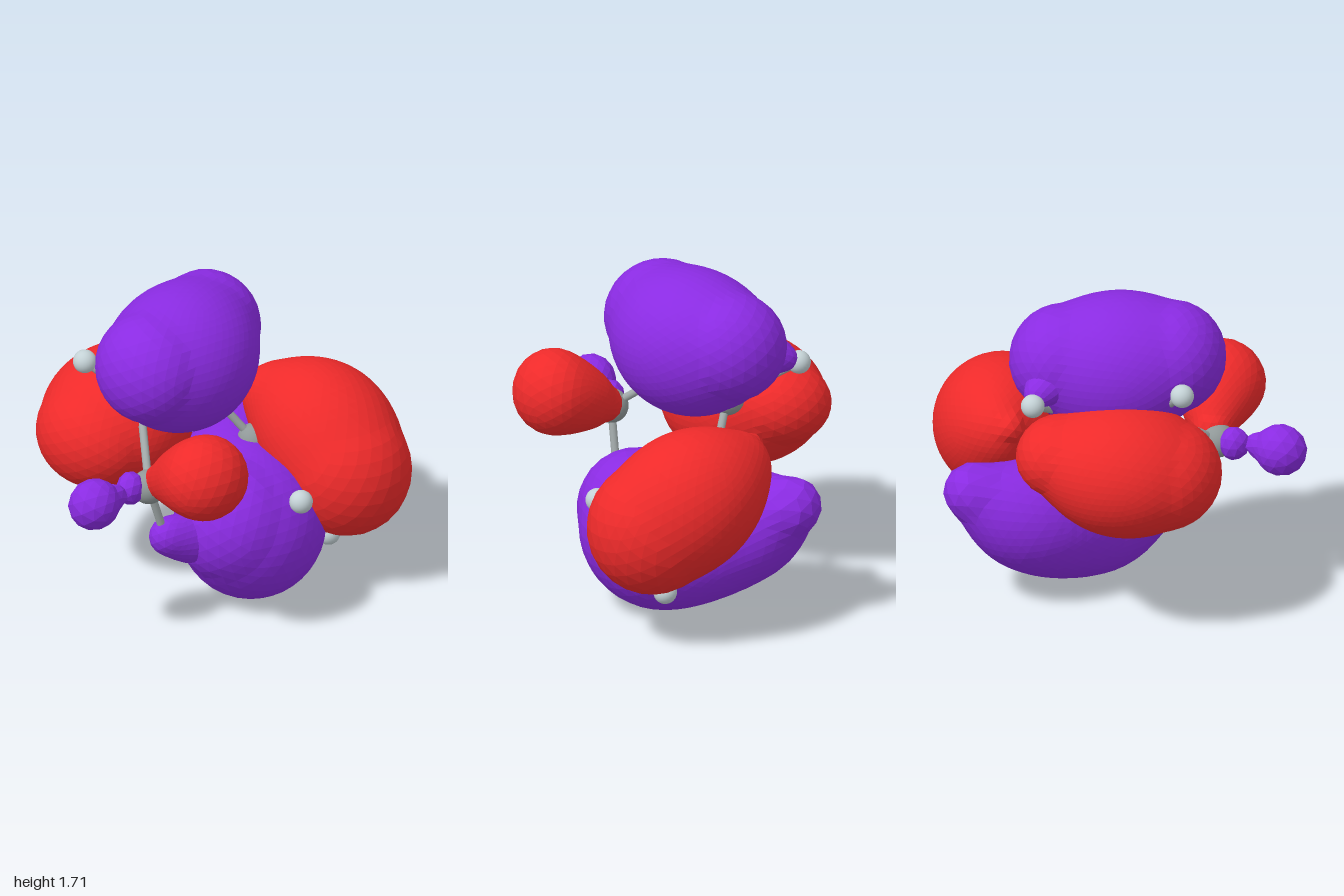
import * as THREE from 'three';

const material = (color, flatShading = false) => {
  const m = new THREE.MeshStandardMaterial({ color });
  m.flatShading = flatShading;
  return m;
};
const PURPLE = material(0x8a2be2, true);
const RED = material(0xee2a2a, true);
const CARBON = material(0x909898);
const HYDROGEN = material(0xc4d2d6);
const BOND = material(0xa0a8a8);

// Balls [x, y, z, radius] interpolated along a smooth spine.
function sweep(balls, steps = 28) {
  const path = new THREE.CatmullRomCurve3(
    balls.map(([x, y, z]) => new THREE.Vector3(x, y, z)), false, 'catmullrom');
  const radii = new THREE.SplineCurve(balls.map((b, i) => new THREE.Vector2(i, b[3])));
  return Array.from({ length: steps + 1 }, (_, i) => (
    { at: path.getPoint(i / steps), r: radii.getPoint(i / steps).y }));
}

// Smooth skin around the swept balls, with its extents set by min and max.
function lobe(name, mat, detail, balls, min, max) {
  const spine = sweep(balls);
  const centre = spine.reduce((sum, s) => sum.add(s.at), new THREE.Vector3())
    .divideScalar(spine.length);
  const inside = (p) => spine.some((s) => p.distanceToSquared(s.at) < s.r * s.r);

  const geometry = new THREE.IcosahedronGeometry(1, detail);
  const pos = geometry.attributes.position;
  const dir = new THREE.Vector3();
  const p = new THREE.Vector3();
  for (let i = 0; i < pos.count; i++) {
    dir.fromBufferAttribute(pos, i).normalize();
    let lo = 0, hi = 1.2;
    for (let k = 0; k < 18; k++) {
      const mid = (lo + hi) / 2;
      p.copy(centre).addScaledVector(dir, mid);
      if (inside(p)) lo = mid; else hi = mid;
    }
    p.copy(centre).addScaledVector(dir, lo);
    pos.setXYZ(i, p.x, p.y, p.z);
  }
  geometry.computeBoundingBox();
  const low = geometry.boundingBox.min.clone();
  const from = geometry.boundingBox.getSize(new THREE.Vector3());
  const to = new THREE.Vector3(...max).sub(new THREE.Vector3(...min));
  geometry.translate(-low.x, -low.y, -low.z);
  geometry.scale(to.x / from.x, to.y / from.y, to.z / from.z);
  geometry.translate(...min);
  geometry.computeVertexNormals();
  const mesh = new THREE.Mesh(geometry, mat);
  mesh.name = name;
  return mesh;
}

function atom(name, at, radius, mat) {
  const mesh = new THREE.Mesh(new THREE.SphereGeometry(radius, 24, 16), mat);
  mesh.position.set(...at);
  mesh.name = name;
  return mesh;
}

function bond(a, b) {
  const start = new THREE.Vector3(...a);
  const axis = new THREE.Vector3(...b).sub(start);
  const mesh = new THREE.Mesh(new THREE.CylinderGeometry(0.021, 0.021, axis.length(), 12), BOND);
  mesh.position.copy(start).addScaledVector(axis, 0.5);
  mesh.quaternion.setFromUnitVectors(new THREE.Vector3(0, 1, 0), axis.normalize());
  mesh.name = 'bond';
  return mesh;
}

export function createModel() {
  const group = new THREE.Group();
  group.name = 'molecularOrbital';

  // Ball and stick skeleton: carbon chain, then hydrogens with their carbon
  const carbons = [
    [0.24, 0.83, 0.52], [-0.12, 1.11, 0.32], [-0.2, 1.07, -0.1],
    [-0.04, 0.72, -0.34], [0.28, 0.5, -0.41],
  ];
  const hydrogens = [
    [0, [0.24, 0.84, 0.85]], [0, [0.24, 0.52, 0.42]], [0, [0.54, 0.97, 0.42]],
    [1, [-0.3, 1.33, 0.54]], [2, [-0.56, 1.26, -0.18]], [3, [-0.38, 0.63, -0.52]],
    [4, [0.53, 0.64, -0.23]], [4, [0.27, 0.24, -0.585]],
  ];
  const skeleton = new THREE.Group();
  skeleton.name = 'skeleton';
  carbons.forEach((c, i) => {
    skeleton.add(atom('carbonAtom', c, 0.09, CARBON));
    if (i) skeleton.add(bond(carbons[i - 1], c));
  });
  hydrogens.forEach(([c, h]) => {
    skeleton.add(atom('hydrogenAtom', h, 0.061, HYDROGEN), bond(carbons[c], h));
  });
  group.add(skeleton);

  // Large lobes
  group.add(lobe('topPurpleLobe', PURPLE, 9,
    [[-0.19, 1.37, -0.16, 0.27], [-0.06, 1.32, 0.09, 0.365], [0.02, 1.37, 0.35, 0.28]],
    [-0.49, 0.94, -0.43], [0.335, 1.705, 0.63]));
  group.add(lobe('frontRedLobe', RED, 9,
    [[-0.52, 1, -0.05, 0.22], [-0.41, 0.92, 0.24, 0.36], [-0.35, 0.89, 0.44, 0.3]],
    [-0.8, 0.56, -0.27], [0.02, 1.25, 0.745]));
  group.add(lobe('backRedLobe', RED, 9,
    [[0.36, 0.65, -0.65, 0.335], [0.15, 0.78, -0.65, 0.35],
      [-0.08, 0.87, -0.57, 0.21], [-0.21, 0.94, -0.46, 0.08]],
    [-0.3, 0.285, -1], [0.69, 1.13, -0.29]));
  group.add(lobe('bottomPurpleLobe', PURPLE, 10,
    [[0.25, 0.47, -0.01, 0.31], [0.17, 0.38, -0.18, 0.37],
      [-0.22, 0.46, -0.34, 0.29], [-0.42, 0.63, -0.56, 0.15]],
    [-0.56, 0, -0.72], [0.58, 0.785, 0.31]));

  // Small lobes around the end carbon
  group.add(lobe('sideRedLobe', RED, 6,
    [[0.58, 0.99, 0.41, 0.225], [0.42, 0.93, 0.43, 0.17], [0.28, 0.87, 0.47, 0.1]],
    [0.2, 0.76, 0.18], [0.79, 1.215, 0.635]));
  group.add(lobe('frontPurpleBall', PURPLE, 2,
    [[0.24, 0.835, 0.87, 0.13], [0.24, 0.84, 0.74, 0.06]],
    [0.12, 0.7, 0.67], [0.37, 0.97, 1]));
  group.add(lobe('frontPurpleNeck', PURPLE, 1,
    [[0.21, 0.835, 0.61, 0.08], [0.22, 0.835, 0.63, 0.07]],
    [0.14, 0.75, 0.54], [0.29, 0.93, 0.7]));
  group.add(lobe('lowerPurpleBump', PURPLE, 3,
    [[0.24, 0.51, 0.4, 0.1], [0.24, 0.45, 0.25, 0.14]],
    [0.12, 0.32, 0.12], [0.36, 0.61, 0.5]));

  // Pointed tip of the top lobe at the outer hydrogen
  group.add(lobe('topPurpleNub', PURPLE, 2,
    [[-0.5, 1.29, -0.18, 0.05], [-0.4, 1.32, -0.15, 0.11]],
    [-0.55, 1.21, -0.27], [-0.29, 1.43, -0.04]));
  return group;
}
